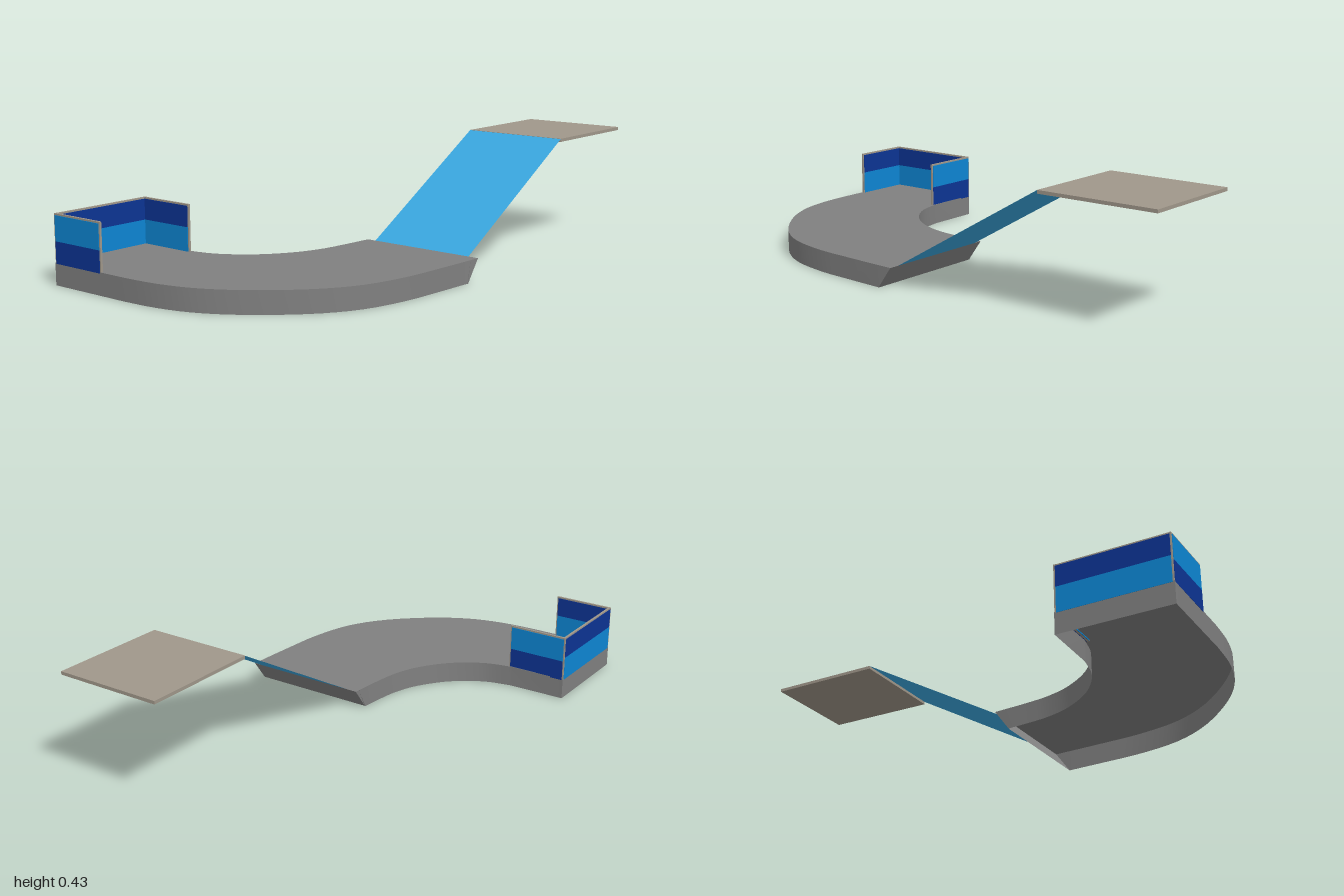
import * as THREE from 'three';
import { toCreasedNormals } from 'three/addons/utils/BufferGeometryUtils.js';

const material = (name, color, side = THREE.FrontSide) => {
  const m = new THREE.MeshStandardMaterial({ color, side });
  m.name = name;
  return m;
};

export function createModel() {
  const model = new THREE.Group();
  model.name = 'curvedWalkway';
  const grey = material('grey', 0x808080, THREE.DoubleSide);
  const taupe = material('taupe', 0xa0978a);
  const sky = material('skyBlue', 0x3aa8e0, THREE.DoubleSide);
  const blue = material('blue', 0x0d86d4);
  const navy = material('navy', 0x0c3494);

  const add = (parent, name, geometry, mat, x = 0, y = 0, z = 0) => {
    const mesh = new THREE.Mesh(geometry, mat);
    mesh.name = name;
    mesh.position.set(x, y, z);
    parent.add(mesh);
    return mesh;
  };

  // Deck outline in (x, z): outer bend towards the front, then inner bend back
  const H = 0.08;
  const bend = (pts) => new THREE.SplineCurve(pts.map(([x, z]) => new THREE.Vector2(x, z))).getPoints(30);
  const outer = bend([[0.537, 0.042], [0.525, 0.25], [0.51, 0.42], [0.465, 0.59], [0.37, 0.735], [0.22, 0.87],
    [0.08, 0.95], [-0.06, 0.987], [-0.2, 0.998]]);
  const inner = bend([[-0.32, 0.588], [-0.21, 0.56], [-0.1, 0.485], [-0.02, 0.38], [0.02, 0.28], [0.037, 0.18], [0.05, 0.042]]);
  const outline = [...outer, new THREE.Vector2(-0.54, 1), new THREE.Vector2(-0.54, 0.592), ...inner];

  // Deck top
  const deck = new THREE.Group();
  deck.name = 'deck';
  model.add(deck);
  const top = new THREE.ShapeGeometry(new THREE.Shape(outline.map((p) => new THREE.Vector2(p.x, -p.y))));
  top.rotateX(-Math.PI / 2);
  add(deck, 'deckTop', top, grey, 0, H, 0);

  // Deck skirt, open underneath, undercut at the ramp end
  const skirt = [];
  outline.forEach((p, i) => {
    const q = outline[(i + 1) % outline.length];
    const a = [p.x, H, p.y], b = [q.x, H, q.y];
    const c = [p.x, 0, Math.max(p.y, 0.1)], d = [q.x, 0, Math.max(q.y, 0.1)];
    skirt.push(...a, ...b, ...c, ...b, ...d, ...c);
  });
  const skirtGeometry = new THREE.BufferGeometry();
  skirtGeometry.setAttribute('position', new THREE.Float32BufferAttribute(skirt, 3));
  add(deck, 'deckSkirt', toCreasedNormals(skirtGeometry, 0.4), grey);

  // Sloping ramp sheet
  const rise = 0.345, run = 0.597;
  const ramp = new THREE.PlaneGeometry(0.412, Math.hypot(rise, run));
  ramp.rotateX(-Math.atan2(run, rise));
  add(model, 'ramp', ramp, sky, 0.291, H + rise / 2, 0.042 - run / 2);

  // Upper landing
  add(model, 'landing', new THREE.BoxGeometry(0.41, 0.012, 0.445), taupe, 0.291, 0.42, -0.7775);

  // Railing panels: a taupe board with a two-tone plate on both faces
  const base = 0.076, tip = 0.25, T = 0.008;
  const panel = (name, width, x, z, turn, faces) => {
    const group = new THREE.Group();
    group.name = name;
    group.position.set(x, 0, z);
    group.rotation.y = turn;
    model.add(group);
    add(group, 'board', new THREE.BoxGeometry(width, tip - base, T), taupe, 0, (tip + base) / 2, 0);
    faces.forEach(([side, upper, lower, split]) => {
      const bands = [[base, split, lower, 'lowerBand'], [split, tip - 0.006, upper, 'upperBand']];
      bands.forEach(([y0, y1, mat, label]) => {
        add(group, label, new THREE.BoxGeometry(width - 0.01, y1 - y0, 0.002), mat,
          0, (y0 + y1) / 2, side * (T / 2 + 0.001));
      });
    });
  };
  panel('frontRailing', 0.235, -0.4225, 0.994, 0, [[1, blue, navy, 0.154], [-1, navy, blue, 0.168]]);
  panel('backRailing', 0.235, -0.4225, 0.597, 0, [[1, navy, blue, 0.168], [-1, blue, navy, 0.154]]);
  panel('endRailing', 0.404, -0.535, 0.796, Math.PI / 2, [[1, navy, blue, 0.168], [-1, navy, blue, 0.168]]);

  return model;
}
